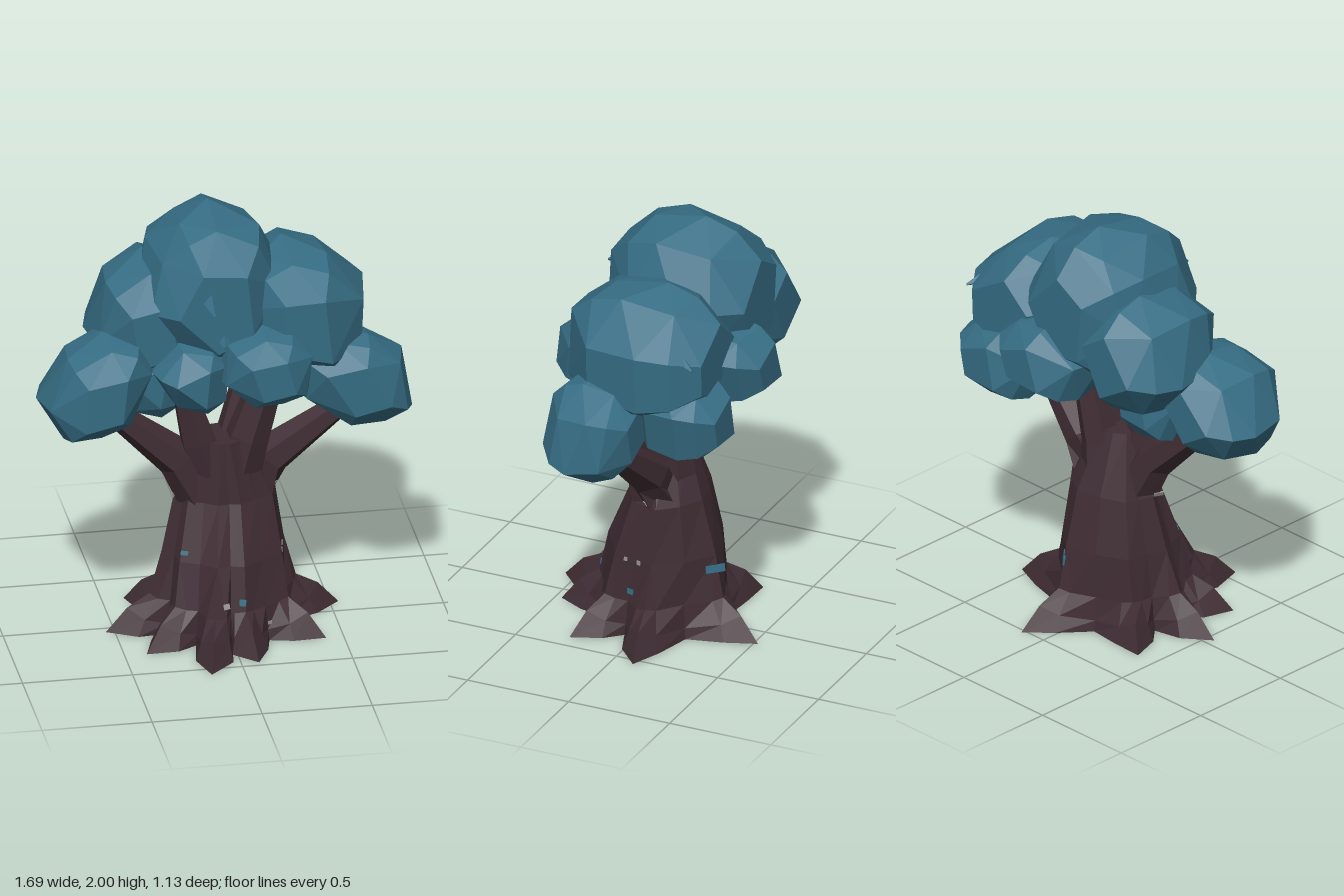
import * as THREE from 'three';
import { ConvexGeometry } from 'three/addons/geometries/ConvexGeometry.js';

function flatMaterial(name, color, side = THREE.FrontSide) {
  const m = new THREE.MeshStandardMaterial({ color, side, flatShading: true });
  m.name = name;
  return m;
}
const leafMat = flatMaterial('leaf teal', 0x366d84);
const barkMat = flatMaterial('dark bark', 0x3f2d34, THREE.DoubleSide);
const fleckMat = flatMaterial('pale grey fleck', 0x969093);

// skin a list of rings; the first end stays open, the last is capped
function loft(rings) {
  const pos = [];
  const tri = (...pts) => pts.forEach((p) => pos.push(p.x, p.y, p.z));
  const n = rings[0].length;
  for (let k = 0; k < rings.length - 1; k++) {
    for (let i = 0; i < n; i++) {
      const j = (i + 1) % n, a = rings[k], b = rings[k + 1];
      tri(a[i], a[j], b[j]);
      tri(a[i], b[j], b[i]);
    }
  }
  const last = rings[rings.length - 1];
  for (let i = 1; i < n - 1; i++) tri(last[0], last[i], last[i + 1]);
  const g = new THREE.BufferGeometry();
  g.setAttribute('position', new THREE.Float32BufferAttribute(pos, 3));
  g.computeVertexNormals();
  return g;
}

// tapered angular limb through stations [x, y, z, radius]
function limb(stations, sides) {
  const pts = stations.map((s) => new THREE.Vector3(s[0], s[1], s[2]));
  return loft(pts.map((p, k) => {
    const t = pts[Math.min(k + 1, pts.length - 1)].clone().sub(pts[Math.max(k - 1, 0)]).normalize();
    const u = Math.abs(t.y) > 0.9 ? new THREE.Vector3(0, 0, 1) : new THREE.Vector3(0, 1, 0);
    u.addScaledVector(t, -u.dot(t)).normalize();
    const v = t.clone().cross(u);
    return Array.from({ length: sides }, (_, i) => {
      const a = (i / sides) * Math.PI * 2, r = stations[k][3];
      return p.clone().addScaledVector(u, Math.cos(a) * r).addScaledVector(v, Math.sin(a) * r);
    });
  }));
}

// trunk whose lower rings spread into roots; tips are [x, z] anticlockwise from the front
function trunk(tips) {
  const angles = tips.map(([x, z]) => Math.atan2(x, z));
  // one column set per root: flank, ridge, flank, valley
  const ring = (make) => tips.flatMap((tip, i) => {
    let next = angles[(i + 1) % tips.length];
    if (next < angles[i]) next += Math.PI * 2;
    return make(tip, angles[i], (angles[i] + next) / 2);
  });
  const rootRing = (ridge, ridgeY, flank, width, flankY, valley, valleyY) => ring(([x, z], a, mid) => {
    const side = (s) => new THREE.Vector3(x * flank + s * width * Math.cos(a), flankY, z * flank - s * width * Math.sin(a));
    return [side(-1), new THREE.Vector3(x * ridge, ridgeY, z * ridge), side(1),
      new THREE.Vector3(Math.sin(mid) * valley, valleyY, Math.cos(mid) * valley)];
  });
  const stemRing = (y, cx, cz, rx, rz, dip) => ring((tip, a, mid) => {
    const at = (t, f) => new THREE.Vector3(cx + Math.sin(t) * rx * f, y, cz + Math.cos(t) * rz * f);
    return [at(a, 1), at(a, 1), at(a, 1), at(mid, dip)];
  });
  return loft([
    rootRing(1, 0, 0.76, 0.085, 0, 0.3, 0),
    rootRing(0.82, 0.11, 0.7, 0.065, 0.07, 0.29, 0.05),
    rootRing(0.63, 0.17, 0.58, 0.045, 0.16, 0.275, 0.16),
    stemRing(0.37, 0.005, -0.02, 0.285, 0.275, 0.9),
    stemRing(0.63, 0.015, -0.04, 0.235, 0.185, 0.92),
    stemRing(0.92, -0.01, 0, 0.11, 0.12, 0.95),
  ]);
}

// faceted leaf clump in a box: a leaning polygon in front view, rounded off towards back and front
function clump([x0, x1], [y0, y1], [z0, z1], sides, lean) {
  const pts = [];
  for (let i = 0; i < sides; i++) {
    const a = ((i + 0.3 + 0.25 * Math.sin(i * 5 + sides)) / sides) * Math.PI * 2;
    const s = i % 2 ? 1 : -1;
    const put = (scale, depth) => pts.push(new THREE.Vector3(
      (Math.cos(a) + lean * Math.sin(a)) * scale, Math.sin(a) * scale, depth));
    put(1, s * 0.22);
    put(0.87, s * 0.66);
    put(0.87, -s * 0.52);
    put(0.55, s);
  }
  const box = new THREE.Box3().setFromPoints(pts);
  const size = box.getSize(new THREE.Vector3());
  const target = new THREE.Vector3(x1 - x0, y1 - y0, z1 - z0);
  pts.forEach((p) => p.sub(box.min).divide(size).multiply(target).add(new THREE.Vector3(x0, y0, z0)));
  return new ConvexGeometry(pts);
}

export function createModel() {
  const tree = new THREE.Group();
  tree.name = 'tree';
  const add = (name, geo, mat) => {
    const m = new THREE.Mesh(geo, mat);
    m.name = name;
    tree.add(m);
    return m;
  };

  const bark = [add('trunkAndRoots', trunk([
    [-0.15, 0.56], [0.08, 0.47], [0.42, 0.27], [0.54, -0.1],
    [0.12, -0.52], [-0.4, -0.3], [-0.54, 0.04], [-0.4, 0.3],
  ]), barkMat)];

  // branches reaching up into the leaves
  const branch = (name, ...path) => bark.push(add(name, limb(path, 6), barkMat));
  branch('outerBranchRight', [-0.06, 0.56, -0.02, 0.12], [-0.21, 0.82, 0, 0.095], [-0.54, 1.11, 0.03, 0.05]);
  branch('outerBranchLeft', [0.09, 0.54, -0.03, 0.13], [0.21, 0.79, -0.02, 0.1], [0.56, 1.06, 0.03, 0.05]);
  branch('innerBranchRight', [-0.04, 0.62, -0.01, 0.11], [-0.12, 0.92, 0.03, 0.085], [-0.2, 1.22, 0.05, 0.05]);
  branch('innerBranchLeft', [0.03, 0.58, -0.02, 0.12], [0.11, 0.92, 0.02, 0.1], [0.22, 1.28, 0.04, 0.07]);
  branch('backBranch', [0.02, 0.5, -0.08, 0.12], [0.06, 0.85, -0.08, 0.09], [0.14, 1.2, -0.1, 0.065]);

  // leaf clumps: x, y and z extents, number of sides, sideways lean
  const leaves = (name, ...shape) => add(name, clump(...shape), leafMat);
  leaves('crownTop', [-0.39, 0.29], [1.25, 2], [-0.46, 0.23], 10, 0.05);
  leaves('crownLeft', [0.03, 0.66], [1.2, 1.81], [-0.43, 0.26], 9, -0.15);
  leaves('crownRight', [-0.6, -0.08], [1.2, 1.77], [-0.45, 0.14], 8, 0.1);
  leaves('lowerClumpRight', [-0.85, -0.32], [1, 1.48], [-0.2, 0.3], 8, 0.3);
  leaves('lowerClumpLeft', [0.31, 0.84], [0.97, 1.43], [-0.15, 0.26], 8, -0.25);
  leaves('frontClumpLeft', [-0.07, 0.38], [1.17, 1.53], [-0.02, 0.41], 8, 0);
  leaves('frontClumpRight', [-0.35, 0.01], [1.12, 1.46], [-0.1, 0.32], 7, -0.1);
  leaves('backClump', [-0.18, 0.32], [1.18, 1.57], [-0.57, -0.1], 7, 0.1);
  leaves('backClumpLeft', [0.16, 0.63], [1.03, 1.43], [-0.5, -0.08], 7, 0);
  leaves('backClumpRight', [-0.52, -0.12], [1, 1.4], [-0.24, 0.06], 7, 0);

  // pointed leaf tufts
  const tuft = (base, tip) => add('leafTuft', limb([[...base, 0.08], [...tip, 0.005]], 4), leafMat);
  tuft([-0.1, 1.72, 0.1], [-0.09, 1.65, 0.32]);
  tuft([-0.02, 1.52, 0.12], [-0.04, 1.47, 0.27]);
  tuft([0.46, 1.62, -0.2], [0.58, 1.55, -0.41]);

  // thin flecks laid on the bark where an inward ray meets it
  const ray = new THREE.Raycaster();
  const fleck = (mat, x, y, z, w, h) => {
    const dir = Math.abs(x) === 1 ? new THREE.Vector3(-x, 0, 0) : new THREE.Vector3(0, 0, -z);
    ray.set(new THREE.Vector3(x, y, z), dir);
    const hit = ray.intersectObjects(bark)[0];
    if (!hit) return;
    const plate = add('barkFleck', new THREE.BoxGeometry(w, h, 0.008), mat);
    plate.position.copy(hit.point);
    plate.lookAt(hit.point.clone().add(hit.face.normal));
  };
  fleck(leafMat, -0.2, 0.41, 1, 0.035, 0.02);
  fleck(leafMat, 0.04, 0.21, 1, 0.03, 0.03);
  fleck(leafMat, 1, 0.21, 0.04, 0.035, 0.025);
  fleck(leafMat, 0.08, 0.31, -1, 0.09, 0.035);
  fleck(fleckMat, -0.04, 0.21, 1, 0.03, 0.025);
  fleck(fleckMat, 0.17, 0.08, 1, 0.02, 0.015);
  fleck(fleckMat, 1, 0.36, 0.07, 0.018, 0.018);
  fleck(fleckMat, 1, 0.36, 0, 0.02, 0.02);
  fleck(fleckMat, 1, 0.65, -0.02, 0.02, 0.02);
  fleck(fleckMat, -1, 0.64, 0, 0.045, 0.02);

  return tree;
}
